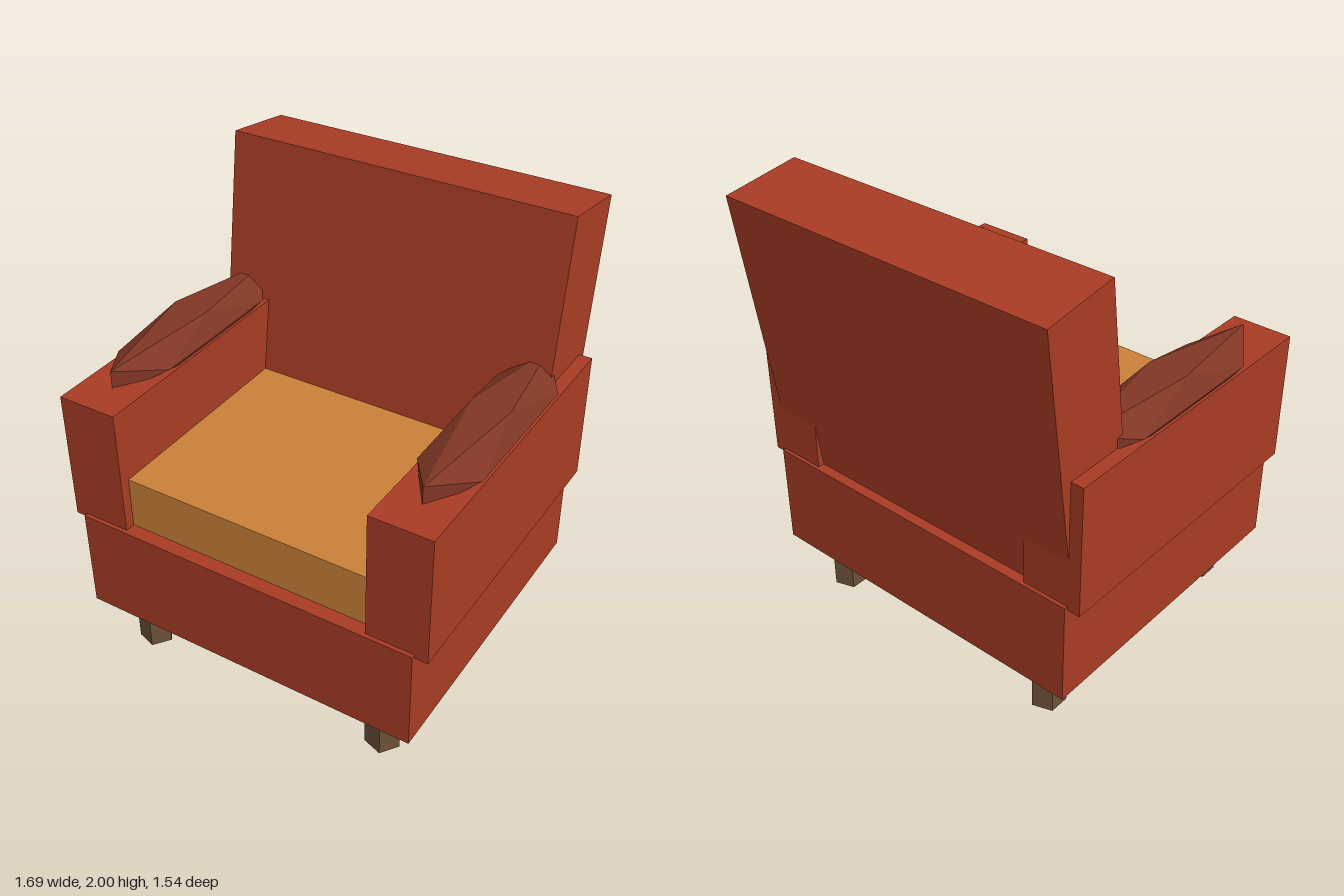
import * as THREE from 'three';

const material = (name, color) => {
  const m = new THREE.MeshStandardMaterial({ color, flatShading: true });
  m.name = name;
  return m;
};

export function createModel() {
  const chair = new THREE.Group();
  chair.name = 'armchair';
  const red = material('red upholstery', 0xa83c24);
  const ochre = material('ochre seat', 0xc98037);
  const brown = material('brown pad', 0x803625);
  const wood = material('dark wood', 0x6b5038);

  const add = (name, geometry, mat, x, y, z) => {
    const mesh = new THREE.Mesh(geometry, mat);
    mesh.name = name;
    mesh.position.set(x, y, z);
    chair.add(mesh);
    return mesh;
  };
  // box given by its low and high corners
  const box = (name, mat, [x0, y0, z0], [x1, y1, z1]) =>
    add(name, new THREE.BoxGeometry(x1 - x0, y1 - y0, z1 - z0), mat,
      (x0 + x1) / 2, (y0 + y1) / 2, (z0 + z1) / 2);

  box('base', red, [-0.788, 0.241, -0.641], [0.788, 0.71, 0.774]);
  box('seatCushion', ochre, [-0.6, 0.66, -0.42], [0.6, 0.945, 0.711]);

  // backrest leaning back, its lower end sunk into the base
  const length = 1.35, thickness = 0.35;
  const backrest = add('backrest',
    new THREE.BoxGeometry(1.576, length, thickness).translate(0, -length / 2, 0),
    red, 0, 1.976, -0.5945);
  backrest.rotation.x = -0.138;

  for (const side of [-1, 1]) {
    const label = side > 0 ? 'left' : 'right';
    const inner = side * 0.575, outer = side * 0.845;
    box(label + 'Arm', red,
      [Math.min(inner, outer), 0.692, -0.625], [Math.max(inner, outer), 1.282, 0.756]);

    // faceted pad, half sunk into the top of the arm
    const pad = add(label + 'ArmPad', new THREE.IcosahedronGeometry(1, 0), brown,
      side * 0.71, 1.303, 0.061);
    pad.scale.set(0.1587, 0.108, 0.632);

    // five-sided legs, all turned the same way
    for (const [end, z] of [['Front', 0.62], ['Back', -0.485]]) {
      add(label + end + 'Leg',
        new THREE.CylinderGeometry(0.0775, 0.0775, 0.26, 5, 1, false, Math.PI / 2),
        wood, side * 0.59, 0.13, z);
    }
  }
  return chair;
}
